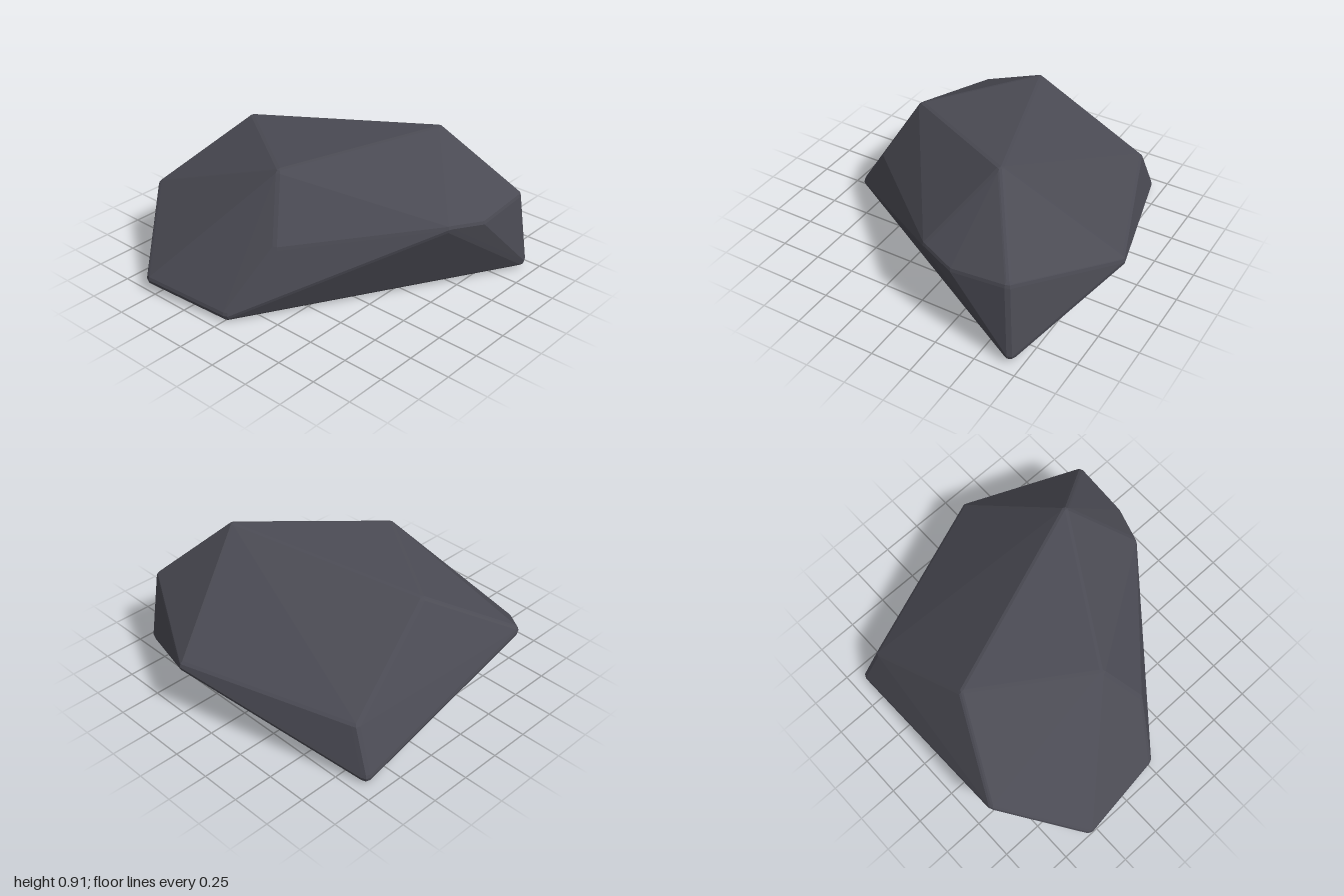
import * as THREE from 'three';
import { ConvexGeometry } from 'three/addons/geometries/ConvexGeometry.js';

// Main corners of the boulder, as outer tips
const CORNERS = [
  [0.51, 0.9, -0.38],    // peak
  [0.0, 0.77, 0.48],     // top front
  [-0.67, 0.75, 0.02],   // top side
  [-0.93, 0.4, 0.56],    // front shoulder
  [-0.56, 0.07, 1.0],    // front toe
  [0.0, 0.0, 0.93],      // front foot
  [0.15, 0.41, 0.67],    // front ridge
  [0.82, 0.48, -0.09],   // flank ridge, front
  [0.89, 0.45, -0.3],    // flank ridge, middle
  [0.89, 0.49, -0.65],   // flank ridge, back
  [0.93, 0.04, -0.69],   // back foot
  [0.24, 0.35, -1.01],   // back point
  [-0.8, 0.29, -0.64],   // back shoulder
  [-0.91, 0.0, -0.67],   // far back foot
];
const BEVEL = 0.04;

export function createModel() {
  const group = new THREE.Group();
  group.name = 'boulder';
  const slate = new THREE.MeshStandardMaterial({ color: 0x4b4b54 });
  slate.name = 'slate grey';

  // Put a small ball in every corner; the hull around them has bevelled edges
  const ball = new THREE.SphereGeometry(BEVEL, 8, 6).getAttribute('position');
  const middle = new THREE.Vector3(0, 0.38, 0);
  const points = [];
  for (const corner of CORNERS) {
    const tip = new THREE.Vector3(...corner);
    const inward = middle.clone().sub(tip).setLength(BEVEL);
    const centre = tip.add(inward);
    centre.y = Math.max(centre.y, BEVEL);
    for (let i = 0; i < ball.count; i++) {
      points.push(new THREE.Vector3().fromBufferAttribute(ball, i).add(centre));
    }
  }

  const rock = new THREE.Mesh(new ConvexGeometry(points), slate);
  rock.name = 'rock';
  group.add(rock);
  return group;
}
